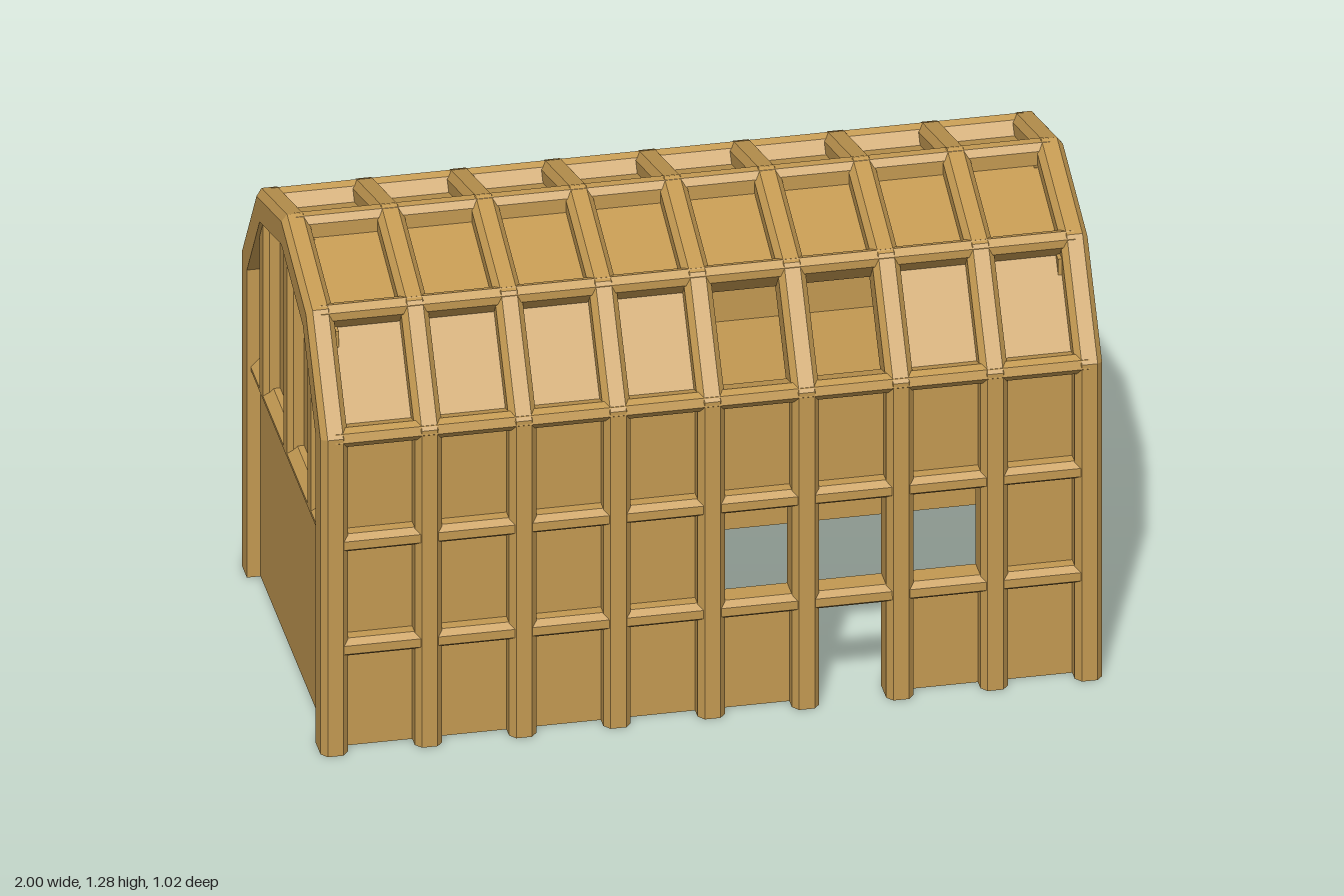
import * as THREE from 'three';

const V = (x, y, z) => new THREE.Vector3(x, y, z);
const material = new THREE.MeshStandardMaterial({ color: 0xc49a52, flatShading: true });

// Barn outline in (z, y), from the front foot over the ridge to the back foot
const half = [[0.51, 0], [0.51, 0.3], [0.51, 0.6], [0.51, 0.91], [0.32, 1.18], [0, 1.28]];
const outline = [...half, ...half.slice(0, -1).reverse().map(([z, y]) => [-z, y])]
  .map(([z, y]) => new THREE.Vector2(z, y));

// Mitred outward direction at each outline point
const normals = outline.slice(1).map((p, i) => {
  const t = p.clone().sub(outline[i]).normalize();
  return new THREE.Vector2(t.y, -t.x);
});
const miters = outline.map((p, i) => {
  const a = normals[Math.max(i - 1, 0)], b = normals[Math.min(i, normals.length - 1)];
  return a.clone().add(b).divideScalar(1 + a.dot(b));
});
const inset = (i, d) => outline[i].clone().addScaledVector(miters[i], -d);
const at = (x, i, d) => { const p = inset(i, d); return V(x, p.y, p.x); };

// Closed solid through a list of convex rings, with faces turned outward
function loft(rings) {
  const tris = [], n = rings[0].length, last = rings[rings.length - 1];
  for (let r = 0; r < rings.length - 1; r++) {
    const A = rings[r], B = rings[r + 1];
    for (let i = 0; i < n; i++) {
      const j = (i + 1) % n;
      tris.push([A[i], A[j], B[j]], [A[i], B[j], B[i]]);
    }
  }
  for (let i = 1; i < n - 1; i++) {
    tris.push([rings[0][0], rings[0][i + 1], rings[0][i]], [last[0], last[i], last[i + 1]]);
  }
  const volume = tris.reduce((s, [a, b, c]) => s + a.dot(b.clone().cross(c)), 0);
  if (volume < 0) tris.forEach(t => t.reverse());
  const geometry = new THREE.BufferGeometry().setFromPoints(tris.flat());
  geometry.computeVertexNormals();
  return geometry;
}

// Timber with two chamfered outer edges, running from a to b and facing "out"
function timber(a, b, out, w, face, chamfer, depth) {
  const side = b.clone().sub(a).cross(out).normalize();
  const section = [[-w, depth], [-w, chamfer], [-face, 0], [face, 0], [w, chamfer], [w, depth]];
  return loft([a, b].map(p => section.map(([s, d]) =>
    p.clone().addScaledVector(side, s).addScaledVector(out, -d))));
}

// Flat plate in the (z, y) plane with thickness along x
function endPlate(points, x0, x1) {
  const shape = new THREE.Shape(points.map(([z, y]) => new THREE.Vector2(z, y)));
  const geometry = new THREE.ExtrudeGeometry(shape, { depth: x1 - x0, bevelEnabled: false });
  return geometry.rotateY(Math.PI / 2).translate(x0, 0, 0);
}

export function createModel() {
  const model = new THREE.Group();
  model.name = 'barn';
  const add = (name, geometry, parent = model) => {
    const mesh = new THREE.Mesh(geometry, material);
    mesh.name = name;
    parent.add(mesh);
    return mesh;
  };
  const group = name => {
    const g = new THREE.Group();
    g.name = name;
    model.add(g);
    return g;
  };

  const bays = 8, end = 0.965, step = 2 * end / bays;
  const bayX = i => -end + i * step;

  // Ribs: posts and rafters bent over the whole outline
  const ribs = group('ribs');
  const ribSection = [[-0.035, 0.08], [-0.035, 0.018], [-0.02, 0], [0.02, 0], [0.035, 0.018], [0.035, 0.08]];
  for (let b = 0; b <= bays; b++) {
    add('rib', loft(outline.map((p, i) => ribSection.map(([x, d]) => at(bayX(b) + x, i, d)))), ribs);
  }

  // Horizontal rails, eaves, purlins and ridge
  const rails = group('rails');
  for (let i = 1; i < outline.length - 1; i++) {
    const out = V(0, miters[i].y, miters[i].x).normalize();
    add('rail', timber(at(-end, i, 0.003), at(end, i, 0.003), out, 0.025, 0.012, 0.018, 0.075), rails);
  }

  // Wall and roof panels; listed bays stay open (row counted up from the front foot)
  const openings = { 0: [5], 1: [4, 5, 6], 3: [4, 5] };
  const panels = group('panels');
  for (let row = 0; row < outline.length - 1; row++) {
    for (let b = 0; b < bays; b++) {
      if (openings[row]?.includes(b)) continue;
      const ring = x => [at(x, row, 0.05), at(x, row + 1, 0.05), at(x, row + 1, 0.08), at(x, row, 0.08)];
      add(row < 3 || row > 6 ? 'wallPanel' : 'roofPanel', loft([ring(bayX(b)), ring(bayX(b + 1))]), panels);
    }
  }

  // Upper floor
  const floor = add('upperFloor', new THREE.BoxGeometry(1.88, 0.03, 0.88));
  floor.position.y = 0.585;

  // Gable ends
  for (const side of [1, -1]) {
    const gable = group(side > 0 ? 'leftGable' : 'rightGable');
    const plate = (name, points, inner, outer) =>
      add(name, endPlate(points, ...(side > 0 ? [inner, outer] : [-outer, -inner])), gable);

    // Lower wall, with a doorway on one end only
    const door = side > 0 ? [[-0.105, 0], [-0.105, 0.385], [0.105, 0.385], [0.105, 0]] : [];
    plate('lowerEndWall', [[-0.45, 0], ...door, [0.45, 0], [0.45, 0.56], [-0.45, 0.56]], 0.92, 0.965);

    // Recessed upper panel following the roof
    const top = [3, 4, 5, 6, 7].map(i => inset(i, 0.06)).map(p => [p.x, p.y]);
    plate('gablePanel', [[0.45, 0.56], ...top, [-0.45, 0.56]], 0.92, 0.948);

    // Sill beam and studs
    const out = V(side, 0, 0), x = side * 0.99;
    add('gableSill', timber(V(x, 0.6, -0.45), V(x, 0.6, 0.45), out, 0.03, 0.005, 0.025, 0.07), gable);
    for (const [z, y] of [[-0.3, 1.12], [0, 1.22], [0.3, 1.12]]) {
      add('gableStud', timber(V(x, 0.6, z), V(x, y, z), out, 0.033, 0.022, 0.015, 0.07), gable);
    }
  }
  return model;
}
